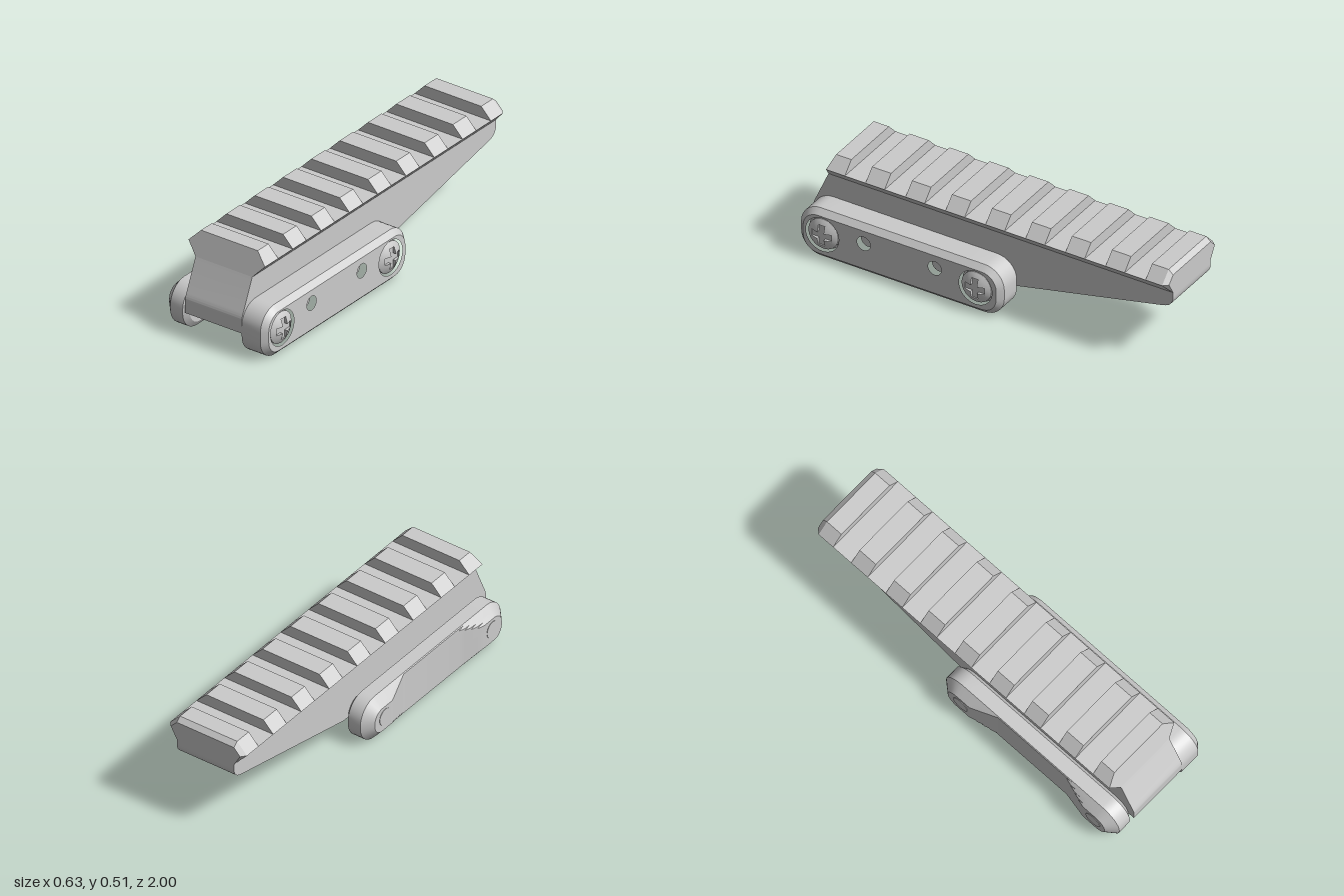
import * as THREE from 'three';
import { toCreasedNormals } from 'three/addons/utils/BufferGeometryUtils.js';

const XL = -0.177, XR = 0.157;   // side faces of the body
const ZC = 0.435;                // middle of the clamps along z
const SCREW_Z = [0.865, 0.013], SCREW_Y = 0.14;

const material = new THREE.MeshStandardMaterial({ color: 0xcccccc });

function part(name, geometry) {
  const mesh = new THREE.Mesh(toCreasedNormals(geometry, 0.5), material);
  mesh.name = name;
  return mesh;
}

// Joins equal-length rings of Vector3 (counter-clockwise seen from the end), with fan caps
function loft(rings, capStart = true, capEnd = true) {
  const n = rings[0].length, index = [];
  const points = rings.flat();
  for (let i = 0; i < rings.length - 1; i++) {
    for (let j = 0; j < n; j++) {
      const k = (j + 1) % n, a = i * n, b = a + n;
      index.push(a + j, a + k, b + k, a + j, b + k, b + j);
    }
  }
  const cap = (row, flip) => {
    const centre = new THREE.Vector3();
    rings[row].forEach(p => centre.addScaledVector(p, 1 / n));
    const c = points.push(centre) - 1;
    for (let j = 0; j < n; j++) {
      const p = row * n + j, q = row * n + (j + 1) % n;
      index.push(c, flip ? q : p, flip ? p : q);
    }
  };
  if (capStart) cap(0, true);
  if (capEnd) cap(rings.length - 1, false);
  const g = new THREE.BufferGeometry().setFromPoints(points);
  g.setIndex(index);
  return g;
}

// Rounded rectangle in the z-y plane, counter-clockwise seen from +x
const STATIONS = [0.365, 0.325, 0.29, 0.255, 0.22];
function roundedRing(x, halfL, halfH, r, inset) {
  const pts = [], cy = halfH, along = [...STATIONS, ...STATIONS.map(s => -s).reverse()];
  const add = (u, v) => pts.push(new THREE.Vector3(x, cy + v, ZC - u));
  [[1, 1], [-1, 1], [-1, -1], [1, -1]].forEach(([su, sv], q) => {
    for (let i = 0; i <= 8; i++) {
      const t = (q + i / 8) * Math.PI / 2;
      add(su * (halfL - r) + (r - inset) * Math.cos(t), sv * (halfH - r) + (r - inset) * Math.sin(t));
    }
    if (q === 0) along.forEach(u => add(u, halfH - inset));
    if (q === 2) along.forEach(u => add(-u, inset - halfH));
  });
  return pts;
}

// Extrudes a (z, y) shape towards -x, starting at x
function extrudeAcross(shape, x, depth) {
  const g = new THREE.ExtrudeGeometry(shape, { depth, bevelEnabled: false, curveSegments: 20 });
  return g.rotateY(-Math.PI / 2).translate(x, 0, 0);
}

function body() {
  const s = new THREE.Shape();
  s.moveTo(1, 0.123);
  s.lineTo(1, 0.19);
  s.quadraticCurveTo(1, 0.205, 0.985, 0.235);
  s.lineTo(0.917, 0.39);
  s.lineTo(-1, 0.39);
  s.lineTo(-1, 0.37);
  s.bezierCurveTo(-1, 0.33, -0.985, 0.308, -0.935, 0.298);
  s.lineTo(-0.13, 0.123);
  s.closePath();
  return part('body', extrudeAcross(s, XR, XR - XL));
}

function rail() {
  const group = new THREE.Group();
  group.name = 'rail';
  const front = y => 0.874 + (0.513 - y) * 0.35;
  const lower = e => [[XL, 0.39], [XR, 0.39], [0.215 - e, 0.453], [-0.235 + e, 0.453]];
  const upper = e => [[-0.235 + e, 0.453], [0.215 - e, 0.453], [XR, 0.513 - e], [XL, 0.513 - e]];
  const ring = (outline, z) => outline.map(([x, y]) => new THREE.Vector3(x, y, z ?? front(y)));
  group.add(part('railBase', loft([ring(lower(0.022), -1), ring(lower(0), -0.975), ring(lower(0))])));
  // Nine evenly spaced teeth; first has the sloped front, last the bevelled back
  for (let i = 0; i < 9; i++) {
    const middle = 0.622 - (i - 1) * 0.2225;
    const back = i === 0 ? 0.79 : middle - 0.053;
    const rings = [ring(upper(0), i === 8 ? -0.975 : back), ring(upper(0), i === 0 ? undefined : middle + 0.053)];
    if (i === 8) rings.unshift(ring(upper(0.022), -1));
    group.add(part('railTooth', loft(rings)));
  }
  return group;
}

// Domed screw head with a cross-shaped recess
function screwHead(z) {
  const w = 0.018, a = 0.055, R = 0.083;
  const corner = Math.atan(w / a), mid = (corner + Math.PI / 4) / 2;
  const angles = [];
  for (let q = 0; q < 4; q++) {
    for (const f of [-Math.PI / 4, -mid, -corner, 0, corner, mid]) {
      const cross = Math.abs(f) <= corner + 1e-6 ? a / Math.cos(f) : w / Math.abs(Math.sin(f));
      angles.push([f + q * Math.PI / 2, cross]);
    }
  }
  const dome = r => 0.315 - 4.1 * r * r;
  const ring = (t, x) => angles.map(([angle, cross]) => {
    const r = R + (cross - R) * t;
    return new THREE.Vector3(x ?? dome(r), SCREW_Y + r * Math.sin(angle), z - r * Math.cos(angle));
  });
  return part('screwHead', loft([ring(0, 0.25), ring(0), ring(0.33), ring(0.66), ring(1), ring(1, 0.295)], false));
}

function leftClamp() {
  const group = new THREE.Group();
  group.name = 'leftClamp';
  const L = 0.565, H = 0.134, r = 0.11, inset = 0.028, face = 0.295;
  group.add(part('leftClampRim', loft([
    roundedRing(XR, L, H, r, 0), roundedRing(0.267, L, H, r, 0), roundedRing(face, L, H, r, inset),
  ], true, false)));
  // Outer face with two screw seats and two small holes
  const plate = new THREE.Shape(roundedRing(0, L, H, r, inset).map(p => new THREE.Vector2(p.z, p.y)));
  const holes = [...SCREW_Z.map(z => [z, SCREW_Y, 0.092]), [0.635, 0.17, 0.037], [0.24, 0.17, 0.037]];
  const depth = 0.04;
  for (const [z, y, radius] of holes) {
    plate.holes.push(new THREE.Path().absarc(z, y, radius, 0, Math.PI * 2, true));
    const floor = new THREE.CircleGeometry(radius + 0.003, 32).rotateY(Math.PI / 2);
    group.add(part('holeFloor', floor.translate(face - depth, y, z)));
  }
  group.add(part('leftClampFace', extrudeAcross(plate, face, depth)));
  SCREW_Z.forEach(z => group.add(screwHead(z)));
  return group;
}

function rightClamp() {
  const group = new THREE.Group();
  group.name = 'rightClamp';
  const L = 0.557, H = 0.119, r = 0.112, outer = -0.316;
  // The outer side is hollowed between two ramps
  const hollow = z => outer + 0.042 * THREE.MathUtils.clamp((0.365 - Math.abs(z - ZC)) / 0.145, 0, 1);
  const ring = (x, inset) => {
    const pts = roundedRing(x, L, H, r, inset);
    pts.forEach(p => { p.x = Math.max(p.x, hollow(p.z)); });
    return pts;
  };
  const rings = [];
  const steps = [1, 0.78, 0.55, 0.33, 0.09, 0];
  steps.forEach(t => rings.push(ring(-0.27 - 0.046 * t, 0.053 * t)));
  // Close the outer face along its middle line
  rings.unshift(rings[0].map(p => new THREE.Vector3(p.x, H, p.z)));
  rings.push(ring(-0.197, 0), ring(XL, 0.03));
  group.add(part('rightClampBar', loft(rings, false, true)));
  for (const z of SCREW_Z) {
    const end = new THREE.CylinderGeometry(0.045, 0.045, 0.03, 32).rotateZ(Math.PI / 2);
    group.add(part('screwEnd', end.translate(outer + 0.013, H + 0.005, z)));
  }
  return group;
}

export function createModel() {
  const model = new THREE.Group();
  model.name = 'railMount';
  model.add(body(), rail(), leftClamp(), rightClamp());
  return model;
}
